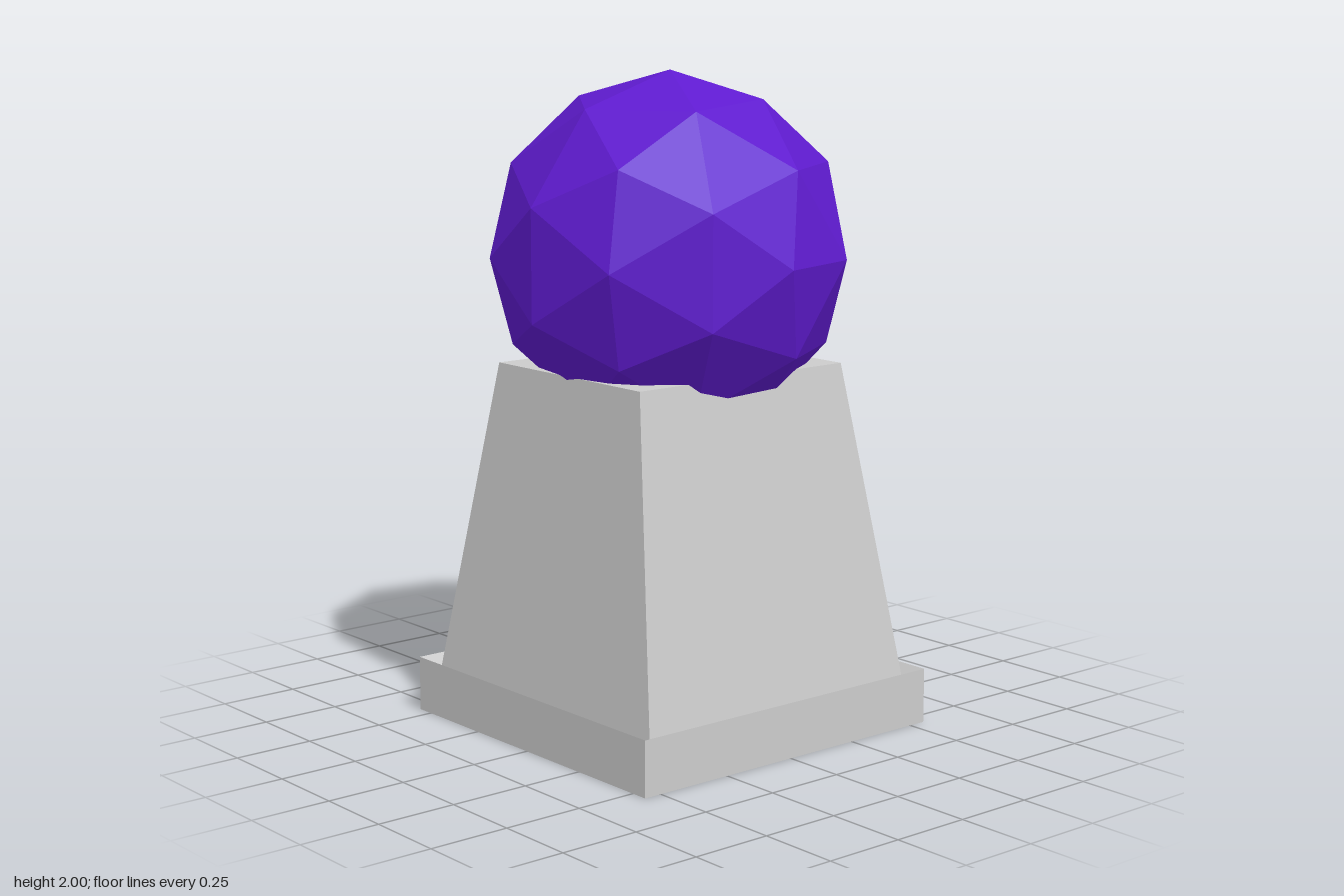
import * as THREE from 'three';

const grey = new THREE.MeshStandardMaterial({ color: 0xcccccc, flatShading: true, side: THREE.DoubleSide });
const purple = new THREE.MeshStandardMaterial({ color: 0x5f1bcf, flatShading: true });

// Skins a stack of rectangular rings, each [half width, half depth, height];
// a ring of zero size closes the end.
function rectLoft(rings) {
  const corners = [[1, 1], [1, -1], [-1, -1], [-1, 1]];
  const point = ([w, d, y], k) => [w * corners[k % 4][0], y, d * corners[k % 4][1]];
  const positions = [];
  for (let i = 0; i < rings.length - 1; i++) {
    const [lo, hi] = [rings[i], rings[i + 1]];
    for (let k = 0; k < 4; k++) {
      const a = point(lo, k), b = point(lo, k + 1), c = point(hi, k + 1), d = point(hi, k);
      if (lo[0] > 0) positions.push(...a, ...b, ...c);
      else positions.push(...a, ...c, ...d);
      if (lo[0] > 0 && hi[0] > 0) positions.push(...a, ...c, ...d);
    }
  }
  const geometry = new THREE.BufferGeometry();
  geometry.setAttribute('position', new THREE.Float32BufferAttribute(positions, 3));
  geometry.computeVertexNormals();
  return geometry;
}

export function createModel() {
  const model = new THREE.Group();
  const add = (name, geometry, material) => {
    const mesh = new THREE.Mesh(geometry, material);
    mesh.name = name;
    model.add(mesh);
    return mesh;
  };

  // Plinth with a rim that slopes down towards the pedestal
  const foot = [0.517, 0.508, 0.11];
  add('plinth', rectLoft([[0, 0, 0], [0.555, 0.557, 0], [0.555, 0.557, 0.17], foot]), grey);

  // Tapered pedestal with a flat top
  add('pedestal', rectLoft([foot, [0.337, 0.395, 1.115], [0, 0, 1.115]]), grey);

  // Faceted ball sunk into the pedestal
  const ball = add('ball', new THREE.IcosahedronGeometry(0.55, 1), purple);
  ball.position.y = 1.45;
  ball.rotation.y = THREE.MathUtils.degToRad(31.72);

  return model;
}
